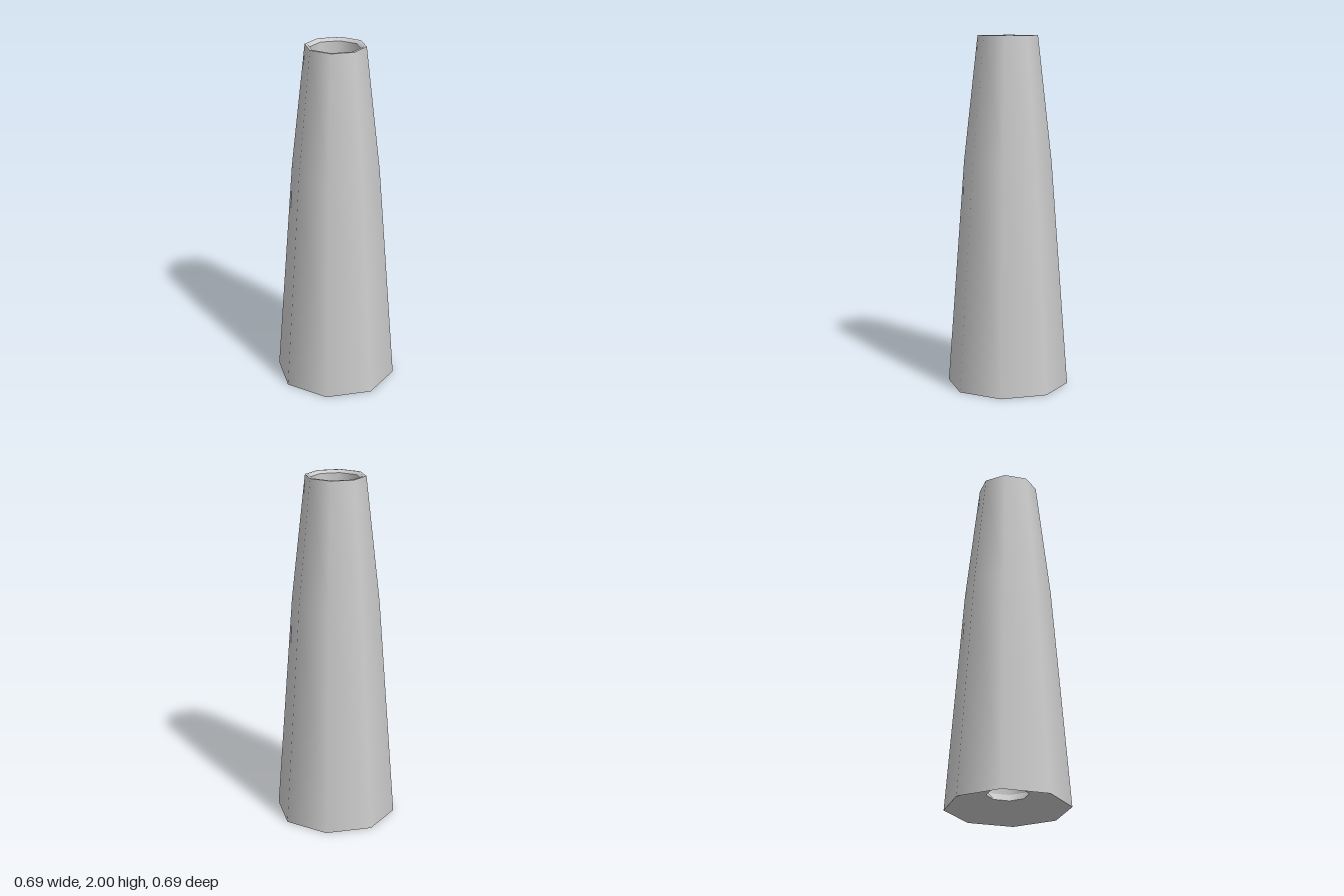
import * as THREE from 'three';

const SIDES = 8;

// Revolves a short profile of [radius, height] into an eight-sided ring
function ring(name, profile, material) {
  const points = profile.map(([r, y]) => new THREE.Vector2(r, y));
  const mesh = new THREE.Mesh(new THREE.LatheGeometry(points, SIDES), material);
  mesh.name = name;
  return mesh;
}

export function createModel() {
  const group = new THREE.Group();
  group.name = 'taperedTube';
  const material = new THREE.MeshStandardMaterial({ color: 0xcccccc });

  group.add(
    // Outer wall, with a slight bend two thirds of the way up
    ring('outerWall', [[0.347, 0], [0.25, 1.29], [0.17, 2]], material),
    // Flat lip with a small inner bevel
    ring('topRim', [[0.17, 2], [0.155, 2], [0.142, 1.985]], material),
    // Bore, running down to a narrower opening
    ring('innerWall', [[0.142, 1.985], [0.137, 0.12]], material),
    ring('innerLedge', [[0.137, 0.12], [0.117, 0.08]], material),
    // Shallow hollow underside around the opening
    ring('underside', [[0.117, 0.08], [0.347, 0]], material),
  );
  return group;
}
